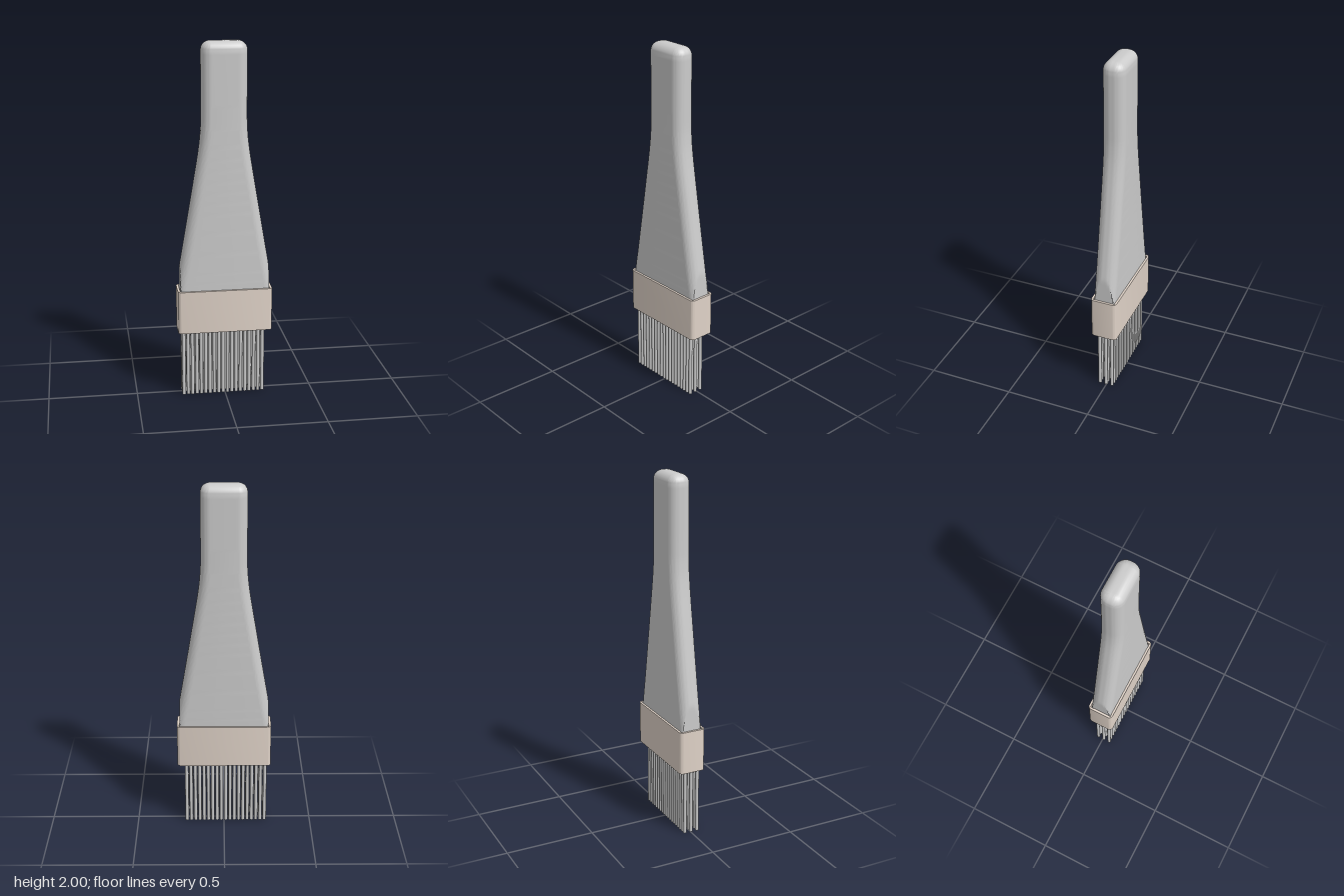
import * as THREE from 'three';
import { toCreasedNormals } from 'three/addons/utils/BufferGeometryUtils.js';

const DEPTH = 0.063, FILLET = 0.055, SIDE = 0.249, TOP = 2, BASE = 0.42;

// Half width of the handle against height, from the base up
const outline = new THREE.SplineCurve([
  [0.3, 0.42], [0.275, 0.62], [0.248, 0.77], [0.208, 1.0], [0.174, 1.2],
  [0.141, 1.4], [0.128, 1.52], [0.125, 1.64], [0.125, 1.95],
].map(([w, y]) => new THREE.Vector2(w, y)));

// Rounded rectangle whose ends are cut flat at the ferrule width
function section(halfWidth, y, inset, steps = 12) {
  const r = FILLET - inset, pts = [];
  for (let q = 0; q < 4; q++) {
    const sx = q === 0 || q === 3 ? 1 : -1, sz = q < 2 ? 1 : -1;
    for (let i = 0; i <= steps; i++) {
      const a = (q + i / steps) * Math.PI / 2;
      const x = sx * (halfWidth - FILLET) + r * Math.cos(a);
      const z = sz * (DEPTH - FILLET) + r * Math.sin(a);
      pts.push([THREE.MathUtils.clamp(x, -SIDE, SIDE), y, z]);
    }
  }
  return pts;
}

// Skin a stack of equal rings and close both ends
function loft(rings) {
  const n = rings[0].length, last = rings.length - 1;
  const pos = rings.flat(2), index = [];
  pos.push(0, rings[0][0][1], 0, 0, rings[last][0][1], 0);
  const bottom = rings.length * n, top = bottom + 1;
  for (let j = 0; j < n; j++) {
    const k = (j + 1) % n;
    for (let i = 0; i < last; i++) {
      const a = i * n + j, b = i * n + k;
      index.push(a, a + n, b, b, a + n, b + n);
    }
    index.push(bottom, j, k, top, last * n + k, last * n + j);
  }
  const geo = new THREE.BufferGeometry();
  geo.setAttribute('position', new THREE.Float32BufferAttribute(pos, 3));
  geo.setIndex(index);
  return toCreasedNormals(geo, 0.45);
}

function handleGeometry() {
  const rings = [];
  for (let i = 0; i <= 80; i++) {
    const p = outline.getPoint(i / 80);
    rings.push(section(p.x, p.y, 0));
  }
  // Rounded top edge
  const r = 0.05;
  for (let i = 1; i <= 8; i++) {
    const a = i / 8 * Math.PI / 2;
    rings.push(section(0.125, TOP - r + r * Math.sin(a), r * (1 - Math.cos(a))));
  }
  return loft(rings);
}

// Open sleeve: rounded outside, square inside
function ferruleGeometry() {
  const w = 0.265, d = 0.076, r = 0.022, iw = 0.252, id = 0.064;
  const s = new THREE.Shape();
  s.absarc(w - r, d - r, r, 0, Math.PI / 2);
  s.absarc(r - w, d - r, r, Math.PI / 2, Math.PI);
  s.absarc(r - w, r - d, r, Math.PI, Math.PI * 1.5);
  s.absarc(w - r, r - d, r, Math.PI * 1.5, Math.PI * 2);
  s.closePath();
  s.holes.push(new THREE.Path([[-iw, -id], [-iw, id], [iw, id], [iw, -id]]
    .map(([x, y]) => new THREE.Vector2(x, y))));
  const geo = new THREE.ExtrudeGeometry(s, { depth: 0.245, bevelEnabled: false, curveSegments: 8 });
  geo.rotateX(-Math.PI / 2).translate(0, 0.38, 0);
  return toCreasedNormals(geo, 0.6);
}

export function createModel() {
  const model = new THREE.Group();
  model.name = 'brush';
  const grey = new THREE.MeshStandardMaterial({ color: 0xcccccc });
  const beige = new THREE.MeshStandardMaterial({ color: 0xdfd2c7 });

  const add = (parent, name, geo, mat) => {
    const mesh = new THREE.Mesh(geo, mat);
    mesh.name = name;
    parent.add(mesh);
    return mesh;
  };
  add(model, 'handle', handleGeometry(), grey);
  add(model, 'ferrule', ferruleGeometry(), beige);

  // Three rows of nineteen bristles, running up into the handle
  const bristles = new THREE.Group();
  bristles.name = 'bristles';
  const length = 0.48;
  const bristle = new THREE.CylinderGeometry(0.01, 0.01, length, 12);
  for (let row = 0; row < 3; row++) {
    for (let i = 0; i < 19; i++) {
      add(bristles, 'bristle', bristle, grey)
        .position.set(-0.235 + i * 0.025, length / 2, -0.0325 + row * 0.0375);
    }
  }
  model.add(bristles);
  return model;
}
